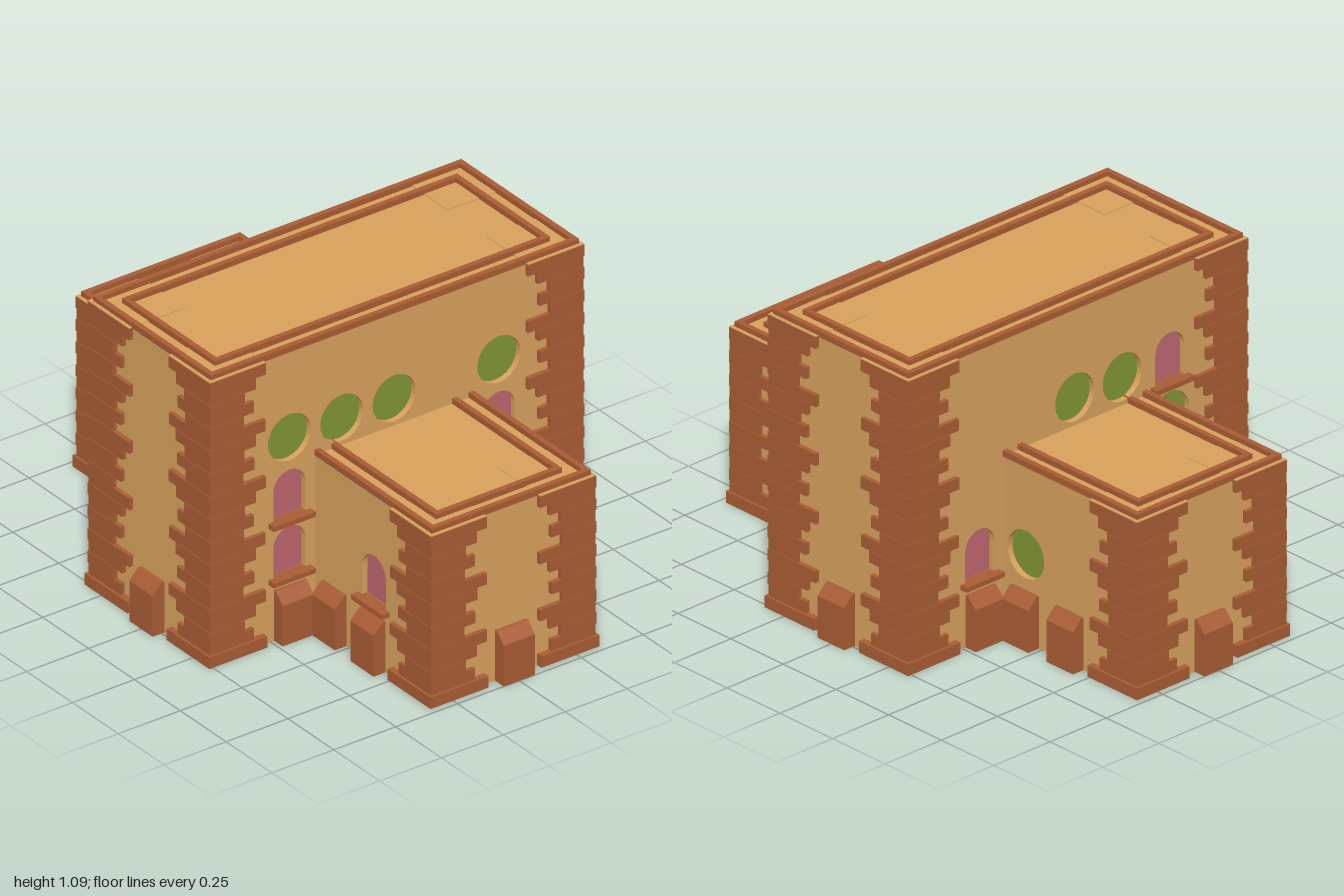
import * as THREE from 'three';

const mat = (color) => new THREE.MeshStandardMaterial({ color, flatShading: true });
const TAN = mat(0xd6a05c), BRICK = mat(0xa85c34), GREEN = mat(0x7f9435), PINK = mat(0xbc6670);

const UNIT = 0.2115;            // wall module
const T = 0.03;                 // wall thickness
const COURSE = 0.0426;          // height of one corner stone
const MAIN = { x: 0.74, z: 0.317, h: 1.065 };
const WING = { x: 0.317, z: 0.952, h: 0.64 };

function add(parent, name, geometry, material, x = 0, y = 0, z = 0) {
  const mesh = new THREE.Mesh(geometry, material);
  mesh.name = name;
  mesh.position.set(x, y, z);
  parent.add(mesh);
  return mesh;
}

const extrude = (shape, depth) =>
  new THREE.ExtrudeGeometry(shape, { depth, bevelEnabled: false, curveSegments: 16 });

function rect(w, y0, y1, Type = THREE.Shape) {
  return new Type([[-w, y0], [w, y0], [w, y1], [-w, y1]].map(([x, y]) => new THREE.Vector2(x, y)));
}

// Outline of a round or arched window in module column x, storey row
function opening({ kind, x, row }, Type) {
  const p = new Type();
  if (kind === 'round') {
    p.absarc(x, row * UNIT + 0.107, 0.087, 0, Math.PI * 2, false);
  } else {
    const y = row * UNIT + 0.022, r = 0.065;
    p.moveTo(x - r, y);
    p.lineTo(x + r, y);
    p.lineTo(x + r, y + 0.11);
    p.absarc(x, y + 0.11, r, 0, Math.PI, false);
    p.lineTo(x - r, y);
  }
  return p;
}

// Wedge-topped block against the foot of a wall
function buttress(parent, x) {
  const w = 0.126;
  const profile = new THREE.Shape(
    [[0, 0], [0.048, 0], [0.048, 0.152], [0.012, 0.19], [0, 0.19]].map(([a, b]) => new THREE.Vector2(a, b)));
  const m = add(parent, 'buttress', extrude(profile, w), BRICK, x + w / 2, 0, 0);
  m.rotation.y = -Math.PI / 2;
}

// One outer wall: local x along the wall, z outward, outer face at z = 0
function wall(root, name, width, height, pos, turn, buttresses, windows = []) {
  const g = new THREE.Group();
  g.name = name;
  g.position.set(pos[0], 0, pos[1]);
  g.rotation.y = turn;
  root.add(g);
  const shape = rect(width / 2, 0, height);
  windows.forEach((o) => shape.holes.push(opening(o, THREE.Path)));
  add(g, 'wallPanel', extrude(shape, T), TAN, 0, 0, -T);
  for (const o of windows) {
    const round = o.kind === 'round';
    add(g, round ? 'roundWindow' : 'archedWindow', extrude(opening(o, THREE.Shape), 0.006),
      round ? GREEN : PINK, 0, 0, -T + 0.002);
    if (!round) {
      add(g, 'windowSill', new THREE.BoxGeometry(0.17, 0.018, 0.05), BRICK,
        o.x, o.row * UNIT + 0.014, 0.005);
    }
  }
  buttresses.forEach((x) => buttress(g, x));
}

// Interlocking corner stones, lengths repeating each storey from the top down
function cornerStones(root, block, sx, sz, count) {
  const g = new THREE.Group();
  g.name = 'cornerStones';
  root.add(g);
  const lengths = [0.225, 0.185, 0.14, 0.178, 0.135];
  const stone = (name, len, out, y, h, material) => {
    const s = len + out, c = (len - out) / 2;
    add(g, name, new THREE.BoxGeometry(s, h, s), material,
      sx * (block.x - c), y + h / 2, sz * (block.z - c));
  };
  for (let i = 0; i < count; i++) {
    const base = i === 0;
    const len = base ? 0.21 : lengths[(count - 1 - i) % 5] - 0.015;
    stone(base ? 'baseStone' : 'cornerStone', len, base ? 0.024 : i % 2 ? 0.015 : 0.017,
      i * COURSE, COURSE, BRICK);
  }
  stone('cornerCap', 0.21, 0.016, count * COURSE, 0.003, TAN);
}

// Two raised rectangular rings around a flat roof
function roofRims(root, block) {
  for (const [outer, inner] of [[0.004, -0.016], [-0.063, -0.083]]) {
    const shape = rect(block.x + outer, -block.z - outer, block.z + outer);
    shape.holes.push(rect(block.x + inner, -block.z - inner, block.z + inner, THREE.Path));
    const m = add(root, 'roofRim', extrude(shape, 0.022), BRICK, 0, block.h - 0.002, 0);
    m.rotation.x = -Math.PI / 2;
  }
}

export function createModel() {
  const root = new THREE.Group();
  root.name = 'crossShapedBuilding';

  // Solid cores, roof rims and corner stones
  for (const [name, b, count] of [['mainBlock', MAIN, 25], ['wings', WING, 15]]) {
    add(root, name, new THREE.BoxGeometry(2 * (b.x - T), b.h, 2 * (b.z - T)), TAN, 0, b.h / 2, 0);
    roofRims(root, b);
    for (const sx of [-1, 1]) for (const sz of [-1, 1]) cornerStones(root, b, sx, sz, count);
  }

  const round = (x, row) => ({ kind: 'round', x: x * UNIT, row });
  const arch = (x, row) => ({ kind: 'arch', x: x * UNIT, row });
  const Q = Math.PI / 2, side = 2 * UNIT;

  // Tall main block
  wall(root, 'mainFrontWall', 2 * MAIN.x, MAIN.h, [0, MAIN.z], 0, [-side, side],
    [round(-2, 3), round(-1, 3), round(0, 3), round(2, 3), arch(-2, 1), arch(-2, 2), arch(2, 2), round(2, 1)]);
  wall(root, 'mainBackWall', 2 * MAIN.x, MAIN.h, [0, -MAIN.z], 2 * Q, [-side, side],
    [round(0, 3), round(1, 3), arch(2, 3), round(2, 2), round(2, 1), arch(-2, 1)]);
  for (const s of [-1, 1]) {
    wall(root, 'mainEndWall', 2 * MAIN.z, MAIN.h, [s * MAIN.x, 0], s * Q, [0]);
  }

  // Low front and back wings
  const len = WING.z - MAIN.z, mid = (WING.z + MAIN.z) / 2;
  wall(root, 'frontWingEnd', 2 * WING.x, WING.h, [0, WING.z], 0, [0]);
  wall(root, 'backWingEnd', 2 * WING.x, WING.h, [0, -WING.z], 2 * Q, [0]);
  wall(root, 'frontWingLeftWall', len, WING.h, [WING.x, mid], Q, [0, UNIT], [round(1, 1)]);
  wall(root, 'backWingLeftWall', len, WING.h, [WING.x, -mid], Q, [0, -UNIT], [round(-1, 1)]);
  wall(root, 'frontWingRightWall', len, WING.h, [-WING.x, mid], -Q, [0, -UNIT], [arch(0, 1)]);
  wall(root, 'backWingRightWall', len, WING.h, [-WING.x, -mid], -Q, [0, UNIT]);

  return root;
}
